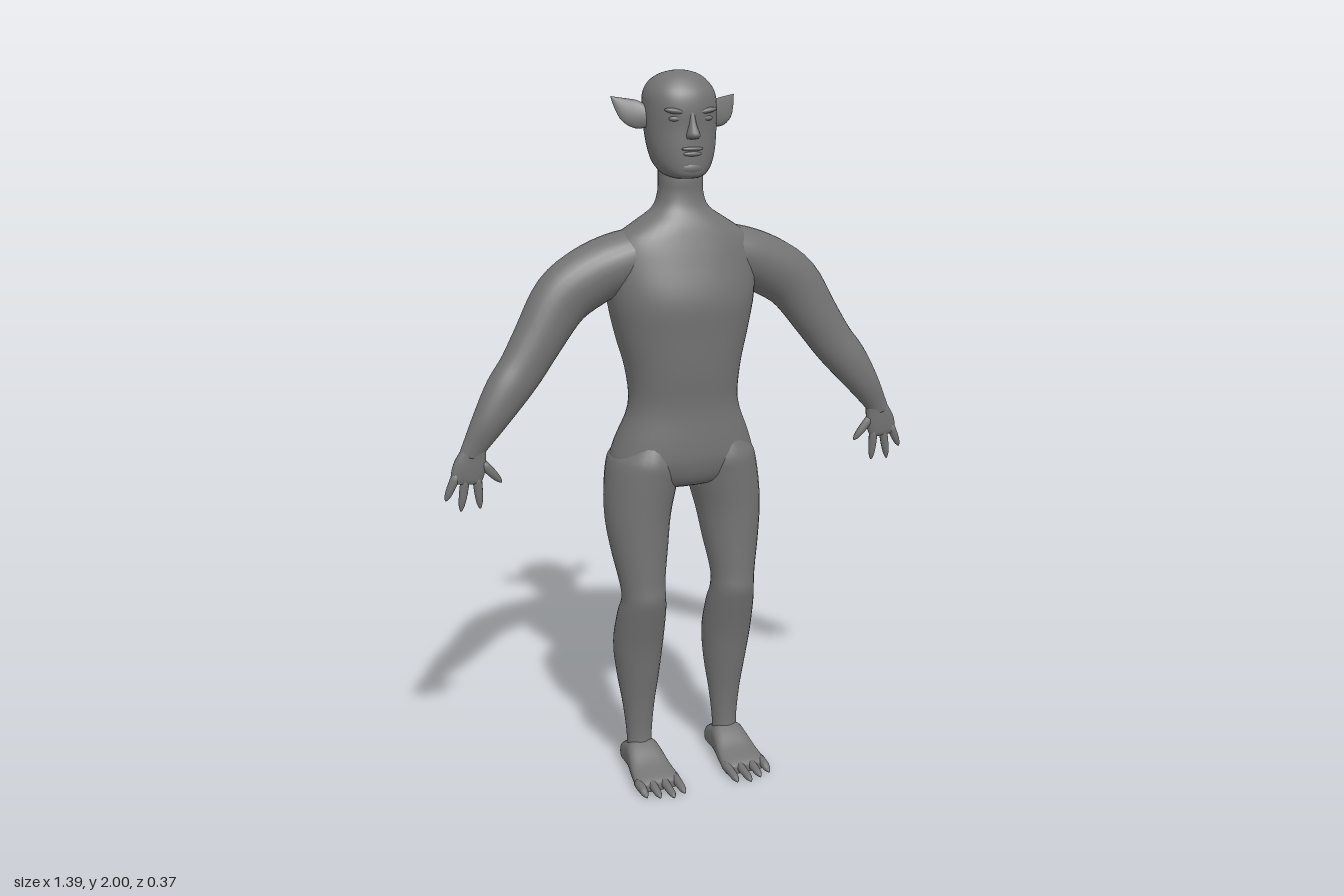
import * as THREE from 'three';

// Catmull-Rom blend of whole section rows
function refine(keys, sub) {
  const out = [];
  const at = (i) => keys[Math.max(0, Math.min(keys.length - 1, i))];
  for (let i = 0; i < keys.length - 1; i++) {
    for (let s = 0; s < sub; s++) {
      const t = s / sub, [p, q, r, w] = [at(i - 1), at(i), at(i + 1), at(i + 2)];
      out.push(q.map((v, k) => 0.5 * (2 * v + (r[k] - p[k]) * t
        + (2 * p[k] - 5 * v + 4 * r[k] - w[k]) * t * t
        + (3 * v - p[k] - 3 * r[k] + w[k]) * t * t * t)));
    }
  }
  out.push(at(keys.length - 1));
  return out;
}

// Skin over oval sections [x, y, z, halfWidth, halfDepth]; depth is the fixed depth axis
function loft(keys, { depth = [0, 0, 1], sides = 28, power = 2, sub = 4 } = {}) {
  const rows = refine(keys, sub), n = rows.length;
  const D = new THREE.Vector3(...depth), pos = [], idx = [];
  const centre = (i) => new THREE.Vector3(rows[i][0], rows[i][1], rows[i][2]);
  const bend = (v) => Math.sign(v) * Math.abs(v) ** (2 / power);
  for (let i = 0; i < n; i++) {
    const T = centre(Math.min(n - 1, i + 1)).sub(centre(Math.max(0, i - 1)));
    const A = new THREE.Vector3().crossVectors(D, T).normalize();
    for (let j = 0; j < sides; j++) {
      const a = j / sides * Math.PI * 2;
      const v = centre(i).addScaledVector(A, bend(Math.cos(a)) * rows[i][3])
        .addScaledVector(D, bend(Math.sin(a)) * rows[i][4]);
      pos.push(v.x, v.y, v.z);
    }
  }
  for (let i = 0; i < n - 1; i++) {
    for (let j = 0; j < sides; j++) {
      const k = (j + 1) % sides, a = i * sides + j, b = i * sides + k;
      idx.push(a, b, a + sides, b, b + sides, a + sides);
    }
  }
  // End caps
  const c0 = n * sides, c1 = c0 + 1, last = (n - 1) * sides;
  pos.push(...centre(0).toArray(), ...centre(n - 1).toArray());
  for (let j = 0; j < sides; j++) {
    const k = (j + 1) % sides;
    idx.push(c0, k, j, c1, last + j, last + k);
  }
  const g = new THREE.BufferGeometry();
  g.setAttribute('position', new THREE.Float32BufferAttribute(pos, 3));
  g.setIndex(idx);
  g.computeVertexNormals();
  return g;
}

export function createModel() {
  const model = new THREE.Group();
  const skin = new THREE.MeshStandardMaterial({ color: 0x737373 });
  skin.name = 'grey skin';
  const add = (name, geo, parent = model) => {
    const m = new THREE.Mesh(geo, skin);
    m.name = name;
    parent.add(m);
    return m;
  };
  const blob = (name, x, y, z, rx, ry, rz) => {
    const m = add(name, new THREE.SphereGeometry(1, 20, 14));
    m.position.set(x, y, z);
    m.scale.set(rx, ry, rz);
    return m;
  };
  // Upright section from half width and front / back depth
  const ring = (y, w, front, back, x = 0) => [x, y, (front + back) / 2, w, (front - back) / 2];

  // Torso and neck
  add('torso', loft([
    ring(0.86, 0.07, -0.01, -0.09), ring(0.885, 0.15, 0.045, -0.135),
    ring(0.94, 0.208, 0.068, -0.168), ring(1.0, 0.198, 0.07, -0.163),
    ring(1.1, 0.16, 0.065, -0.135), ring(1.2, 0.165, 0.075, -0.15),
    ring(1.3, 0.19, 0.081, -0.175), ring(1.4, 0.21, 0.085, -0.188),
    ring(1.5, 0.215, 0.06, -0.175), ring(1.56, 0.195, 0.042, -0.152),
    ring(1.6, 0.14, 0.028, -0.132), ring(1.64, 0.08, 0.008, -0.115),
    ring(1.68, 0.063, 0.0, -0.107), ring(1.72, 0.061, 0.0, -0.105),
    ring(1.78, 0.06, -0.01, -0.105),
  ], { sides: 40, power: 2.2 }));

  // Head
  add('head', loft([
    ring(1.722, 0.035, 0.018, -0.06), ring(1.732, 0.058, 0.03, -0.085),
    ring(1.76, 0.08, 0.033, -0.113), ring(1.8, 0.092, 0.033, -0.128),
    ring(1.85, 0.098, 0.032, -0.142), ring(1.9, 0.1, 0.034, -0.152),
    ring(1.94, 0.097, 0.027, -0.155), ring(1.97, 0.08, 0.006, -0.142),
    ring(1.99, 0.052, -0.018, -0.112), ring(1.999, 0.02, -0.045, -0.08),
    ring(2.0, 0.002, -0.06, -0.064),
  ], { sides: 40, power: 2.15 }));

  // Face
  add('nose', loft([
    [0, 1.897, 0.025, 0.008, 0.008], [0, 1.865, 0.03, 0.01, 0.014],
    [0, 1.837, 0.036, 0.018, 0.024], [0, 1.826, 0.03, 0.015, 0.018],
  ], { sides: 16 }));
  blob('upperLip', 0, 1.8, 0.029, 0.031, 0.006, 0.01);
  blob('lowerLip', 0, 1.787, 0.028, 0.027, 0.007, 0.01);
  blob('chin', 0, 1.75, 0.019, 0.035, 0.018, 0.016);

  for (const s of [1, -1]) {
    const side = s > 0 ? 'left' : 'right';
    const mir = (rows) => rows.map(([x, ...r]) => [x * s, ...r]);

    blob(side + 'Brow', s * 0.042, 1.897, 0.019, 0.033, 0.008, 0.014).rotation.z = s * 0.15;
    blob(side + 'Eye', s * 0.042, 1.878, 0.018, 0.02, 0.008, 0.011);

    // Pointed ear: thin outer blade with a raised rim
    add(side + 'Ear', loft(mir([
      [0.088, 1.875, -0.055, 0.022, 0.012], [0.112, 1.882, -0.064, 0.034, 0.012],
      [0.138, 1.897, -0.076, 0.033, 0.009], [0.16, 1.915, -0.09, 0.018, 0.006],
      [0.178, 1.932, -0.102, 0.001, 0.002],
    ]), { sides: 16 }));

    // Arm
    add(side + 'Arm', loft(mir([
      [0.1, 1.525, -0.058, 0.07, 0.08], [0.18, 1.5, -0.062, 0.08, 0.085],
      [0.265, 1.464, -0.06, 0.083, 0.076], [0.345, 1.41, -0.053, 0.08, 0.064],
      [0.415, 1.31, -0.042, 0.069, 0.056], [0.465, 1.237, -0.032, 0.063, 0.05],
      [0.513, 1.178, -0.024, 0.059, 0.048], [0.565, 1.105, -0.015, 0.046, 0.038],
      [0.607, 1.04, -0.013, 0.033, 0.021], [0.617, 1.015, -0.013, 0.033, 0.017],
    ])));

    // Hand with three fingers and a thumb
    const hand = new THREE.Group();
    hand.name = side + 'Hand';
    model.add(hand);
    add('palm', loft(mir([
      [0.602, 1.045, -0.013, 0.028, 0.018], [0.613, 1.015, -0.013, 0.038, 0.017],
      [0.623, 0.985, -0.013, 0.045, 0.016], [0.632, 0.955, -0.013, 0.043, 0.013],
      [0.634, 0.943, -0.013, 0.034, 0.008],
    ]), { sides: 20, power: 2.4 }), hand);
    const digits = [
      ['thumb', 0.588, 0.995, 0.536, 0.936], ['finger', 0.603, 0.965, 0.597, 0.87],
      ['finger', 0.633, 0.965, 0.65, 0.868], ['finger', 0.658, 0.97, 0.69, 0.902],
    ];
    for (const [name, x0, y0, x1, y1] of digits) {
      const mid = (t, r) => [x0 + (x1 - x0) * t, y0 + (y1 - y0) * t, -0.013, r, r * 0.9];
      add(name, loft(mir([mid(0, 0.013), mid(0.5, 0.012), mid(0.85, 0.008), mid(1, 0.002)]),
        { sides: 10, sub: 2 }), hand);
    }

    // Leg: outer and inner edge, front and back at each height
    const leg = [
      [1.0, 0.17, 0.04, 0.05, -0.14], [0.95, 0.207, 0.015, 0.066, -0.17],
      [0.9, 0.224, 0.02, 0.065, -0.166], [0.8, 0.233, 0.043, 0.06, -0.14],
      [0.7, 0.223, 0.058, 0.06, -0.105], [0.6, 0.205, 0.074, 0.063, -0.066],
      [0.55, 0.201, 0.074, 0.067, -0.06], [0.5, 0.208, 0.068, 0.055, -0.08],
      [0.4, 0.212, 0.066, 0.028, -0.11], [0.3, 0.2, 0.075, 0.01, -0.108],
      [0.2, 0.184, 0.09, -0.006, -0.09], [0.1, 0.174, 0.1, -0.012, -0.078],
      [0.04, 0.178, 0.098, 0.0, -0.085],
    ].map(([y, o, i, f, b]) => ring(y, (o - i) / 2, f, b, s * (o + i) / 2));
    add(side + 'Leg', loft(leg));

    // Foot with four toes
    const foot = new THREE.Group();
    foot.name = side + 'Foot';
    model.add(foot);
    const slab = (z, h, w) => [s * 0.137, h / 2, z, w, h / 2];
    add('sole', loft([
      slab(-0.105, 0.055, 0.036), slab(-0.085, 0.068, 0.045), slab(-0.03, 0.092, 0.049),
      slab(0.0, 0.084, 0.053), slab(0.05, 0.053, 0.061), slab(0.1, 0.034, 0.067),
      slab(0.12, 0.022, 0.066),
    ], { depth: [0, 1, 0], power: 3 }), foot);
    for (const [x, tip] of [[0.083, 0.174], [0.12, 0.186], [0.157, 0.172], [0.192, 0.157]]) {
      add('toe', loft([
        [s * x, 0.018, 0.09, 0.014, 0.014], [s * x, 0.015, 0.13, 0.012, 0.012],
        [s * x, 0.011, tip - 0.015, 0.01, 0.009], [s * x, 0.008, tip, 0.003, 0.004],
      ], { depth: [0, 1, 0], sides: 10, sub: 2 }), foot);
    }
  }
  return model;
}
